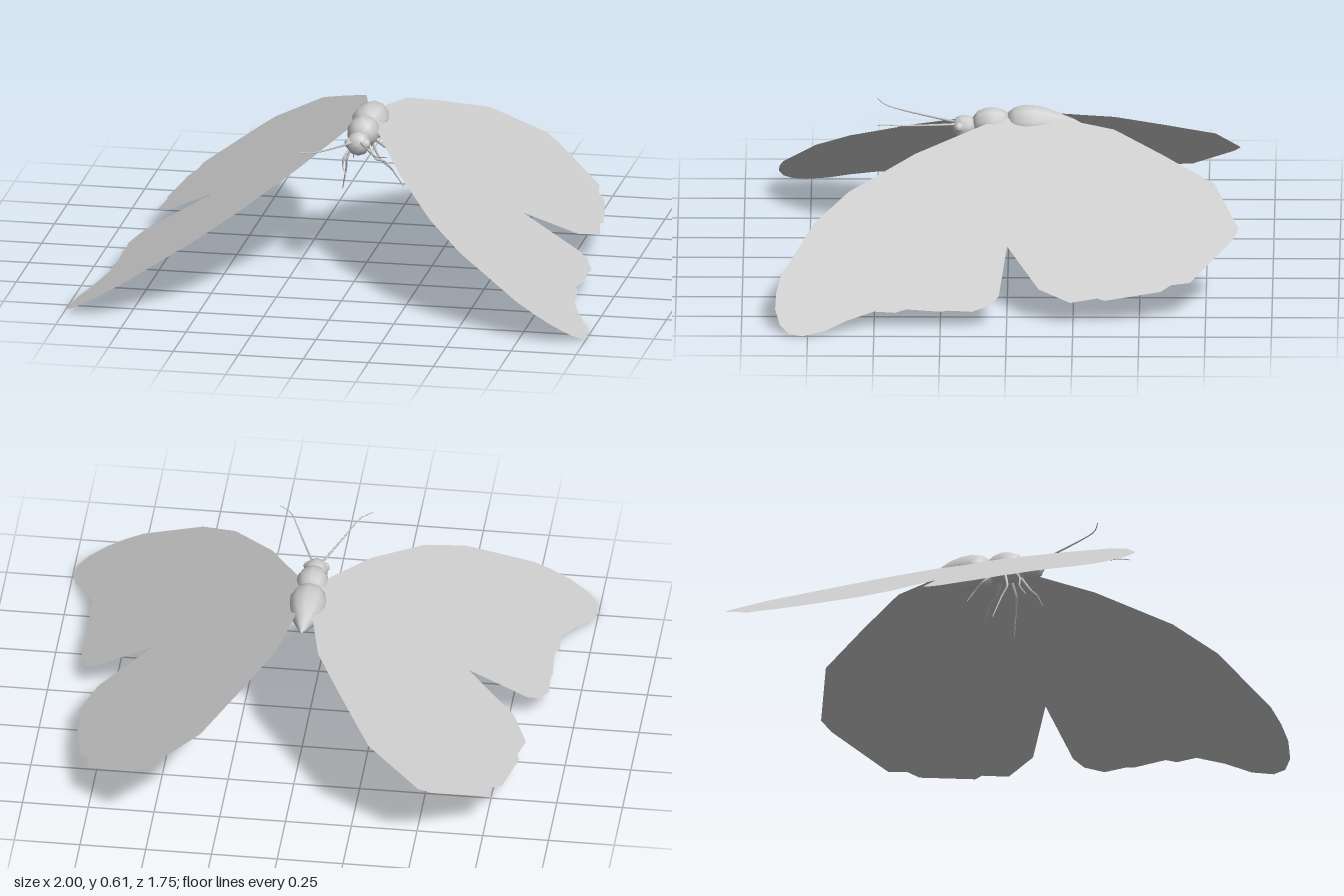
import * as THREE from 'three';

const grey = new THREE.MeshStandardMaterial({ color: 0xcccccc });
const thin = new THREE.MeshStandardMaterial({ color: 0xcccccc, side: THREE.DoubleSide });

// Wing outline in plan, as [x, z] pairs for the +x wing
const WING = [
  [0.02, -0.02], [0.035, -0.21], [0.08, -0.40], [0.19, -0.58], [0.32, -0.78], [0.52, -0.873], [0.57, -0.85],
  [0.76, -0.69], [0.77, -0.62], [0.80, -0.58], [0.84, -0.37], [0.83, -0.34], [0.85, -0.24], [0.79, -0.12],
  [0.60, 0], [0.82, 0.03], [0.86, 0.06], [0.89, 0.13], [0.885, 0.22], [0.89, 0.25], [0.88, 0.38],
  [0.895, 0.42], [0.89, 0.50], [0.93, 0.60], [0.98, 0.69], [1, 0.77], [0.99, 0.82], [0.95, 0.855],
  [0.88, 0.873], [0.81, 0.87], [0.74, 0.855], [0.50, 0.73], [0.36, 0.60], [0.19, 0.35], [0.06, 0.09],
];

// Flat wing, sloping down from the body to the ground at its tip
function wing(side) {
  const shape = new THREE.Shape(WING.map(([x, z]) => new THREE.Vector2(side * x, -z)));
  const geo = new THREE.ShapeGeometry(shape).rotateX(-Math.PI / 2);
  const p = geo.attributes.position;
  for (let i = 0; i < p.count; i++) p.setY(i, 0.58 * (1 - Math.abs(p.getX(i))));
  geo.computeVertexNormals();
  const mesh = new THREE.Mesh(geo, thin);
  mesh.name = side > 0 ? 'leftWing' : 'rightWing';
  return mesh;
}

// Body segment turned around the z axis from [z, radius] pairs
function segment(name, y, profile) {
  const geo = new THREE.LatheGeometry(profile.map(([z, r]) => new THREE.Vector2(r, z)), 10);
  const mesh = new THREE.Mesh(geo.rotateX(Math.PI / 2), grey);
  mesh.position.y = y;
  mesh.name = name;
  return mesh;
}

// Thin limb along a path, tapering to its tip
function limb(name, points, radius, tension = 0.5) {
  const curve = new THREE.CatmullRomCurve3(points.map(p => new THREE.Vector3(...p)), false, 'catmullrom', tension);
  const steps = 16, sides = 5;
  const geo = new THREE.TubeGeometry(curve, steps, radius, sides);
  const p = geo.attributes.position, v = new THREE.Vector3();
  for (let i = 0; i < p.count; i++) {
    const t = Math.floor(i / (sides + 1)) / steps;
    const c = curve.getPointAt(t);
    v.fromBufferAttribute(p, i).sub(c).multiplyScalar(1 - 0.65 * t).add(c);
    p.setXYZ(i, v.x, v.y, v.z);
  }
  const mesh = new THREE.Mesh(geo, thin);
  mesh.name = name;
  return mesh;
}

export function createModel() {
  const model = new THREE.Group();
  model.name = 'butterfly';

  // Body
  model.add(
    segment('abdomen', 0.535, [[-0.275, 0], [-0.25, 0.015], [-0.2, 0.036], [-0.15, 0.058], [-0.1, 0.069],
      [-0.06, 0.071], [-0.025, 0.062], [0, 0.042], [0.012, 0]]),
    segment('thorax', 0.535, [[-0.01, 0], [0, 0.038], [0.02, 0.052], [0.055, 0.061], [0.085, 0.06],
      [0.115, 0.046], [0.13, 0.028], [0.135, 0]]),
    segment('head', 0.52, [[0.115, 0], [0.125, 0.028], [0.145, 0.042], [0.175, 0.046], [0.198, 0.036],
      [0.208, 0.018], [0.21, 0]]),
  );

  for (const s of [1, -1]) {
    model.add(wing(s));

    // Eyes
    const eye = new THREE.Mesh(new THREE.SphereGeometry(0.02, 10, 8), grey);
    eye.position.set(s * 0.03, 0.525, 0.185);
    eye.name = 'eye';
    model.add(eye);

    // Antennae
    model.add(limb('antenna', [[s * 0.012, 0.532, 0.19], [s * 0.05, 0.54, 0.28], [s * 0.1, 0.553, 0.4],
      [s * 0.13, 0.565, 0.465], [s * 0.175, 0.576, 0.495]], 0.005));
  }

  // Legs, posed differently on each side
  const legs = {
    leftLeg: [
      [[0.03, 0.5, 0.11], [0.06, 0.455, 0.14], [0.1, 0.45, 0.15], [0.135, 0.42, 0.16]],
      [[0.035, 0.5, 0.07], [0.065, 0.44, 0.08], [0.11, 0.39, 0.06], [0.15, 0.32, 0.04]],
      [[0.035, 0.5, 0.03], [0.07, 0.46, 0.0], [0.1, 0.44, -0.04], [0.13, 0.39, -0.07]],
    ],
    rightLeg: [
      [[-0.03, 0.5, 0.11], [-0.06, 0.455, 0.14], [-0.065, 0.42, 0.14], [-0.05, 0.39, 0.16]],
      [[-0.035, 0.5, 0.07], [-0.06, 0.43, 0.09], [-0.065, 0.39, 0.07], [-0.085, 0.3, 0.04]],
      [[-0.035, 0.5, 0.03], [-0.07, 0.46, 0.0], [-0.06, 0.43, -0.04], [-0.065, 0.39, -0.07]],
    ],
  };
  for (const [name, paths] of Object.entries(legs))
    for (const path of paths) model.add(limb(name, path, 0.006, 0.2));

  return model;
}
